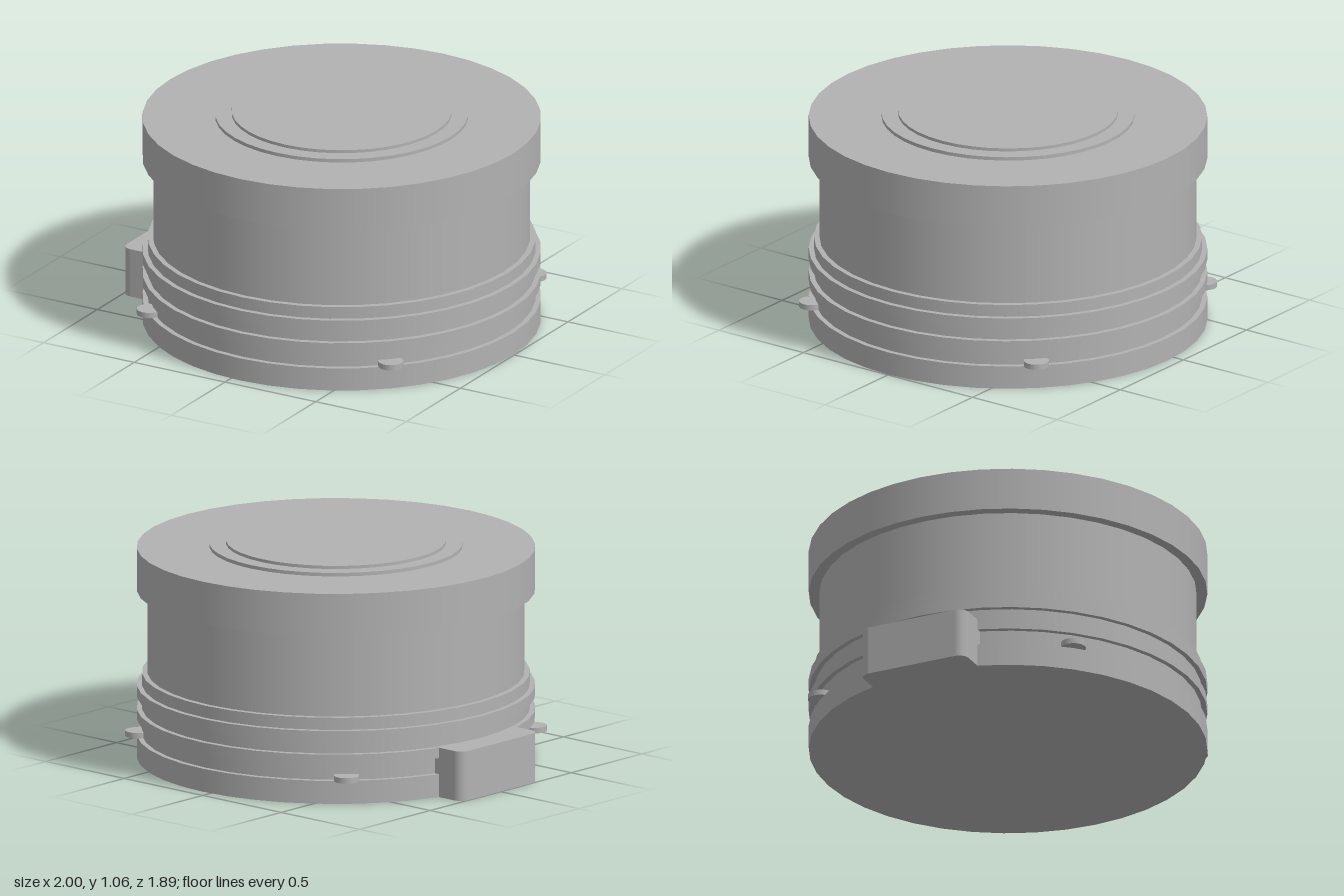
import * as THREE from 'three';

const AXIS_X = 0.05; // the round body sits slightly to the left of the side block
const SIDES = 40;

export function createModel() {
  const model = new THREE.Group();
  model.name = 'roundHousing';
  const grey = new THREE.MeshStandardMaterial({ color: 0xb2b2b2 });
  grey.name = 'grey';

  function add(name, geometry, x = 0, y = 0, z = 0) {
    const mesh = new THREE.Mesh(geometry, grey);
    mesh.name = name;
    mesh.position.set(x, y, z);
    model.add(mesh);
  }

  function disc(name, radius, y0, y1, x = AXIS_X, z = 0, sides = SIDES) {
    add(name, new THREE.CylinderGeometry(radius, radius, y1 - y0, sides), x, (y0 + y1) / 2, z);
  }

  // Stacked round body: name, radius, bottom, top
  const layers = [
    ['base', 0.945, 0, 0.112],
    ['lowerGroove', 0.92, 0.112, 0.19],
    ['lowerRib', 0.945, 0.19, 0.24],
    ['middleGroove', 0.92, 0.24, 0.302],
    ['upperRib', 0.945, 0.302, 0.355],
    ['collar', 0.92, 0.355, 0.414],
    ['drum', 0.894, 0.414, 0.817],
    ['lid', 0.945, 0.817, 1.025],
    ['lidStep', 0.6, 1.025, 1.042],
    ['lidDisc', 0.522, 1.042, 1.057],
  ];
  for (const [name, radius, y0, y1] of layers) disc(name, radius, y0, y1);

  // Four small round lugs just above the base
  for (const sx of [-1, 1]) {
    for (const sz of [-1, 1]) {
      disc('lug', 0.06, 0.112, 0.139, AXIS_X + sx * 0.665, sz * 0.665, 24);
    }
  }

  // Side block with rounded outer corners, running into the body
  const outer = -1, inner = -0.75, half = 0.275, r = 0.05;
  const outline = new THREE.Shape();
  outline.moveTo(inner, -half);
  outline.lineTo(inner, half);
  outline.lineTo(outer + r, half);
  outline.absarc(outer + r, half - r, r, Math.PI / 2, Math.PI, false);
  outline.lineTo(outer, -half + r);
  outline.absarc(outer + r, -half + r, r, Math.PI, Math.PI * 1.5, false);
  outline.closePath();
  const block = new THREE.ExtrudeGeometry(outline, { depth: 0.241, bevelEnabled: false, curveSegments: 8 });
  block.rotateX(-Math.PI / 2);
  add('sideBlock', block);

  return model;
}
